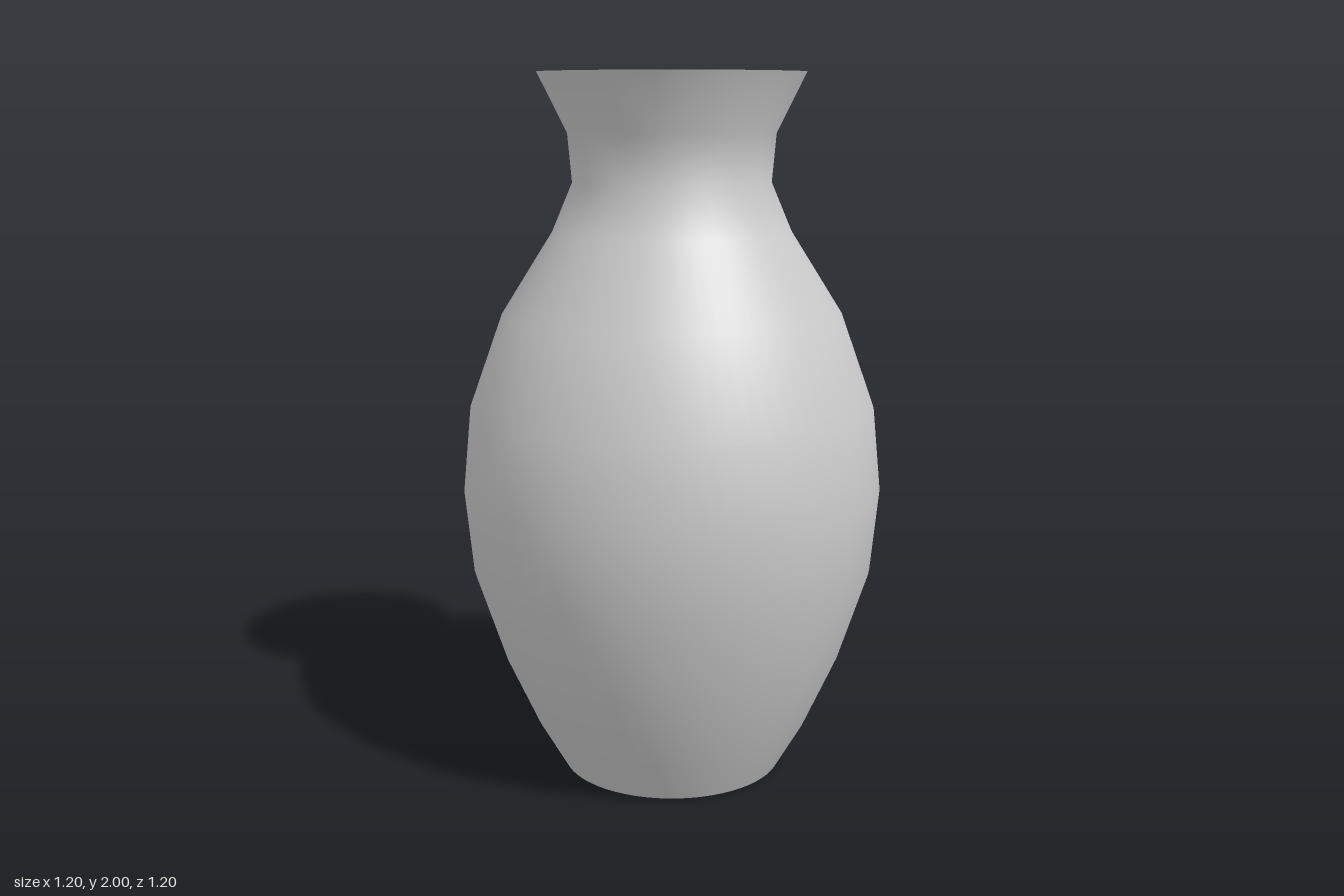
import * as THREE from 'three';

const SEGMENTS = 64;
const WALL = 0.037;
const FLOOR = 0.04;

// Outer profile as [radius, height], from foot to lip
const OUTER = [
  [0.32, 0], [0.4, 0.14], [0.49, 0.34], [0.575, 0.6], [0.598, 0.835], [0.575, 1.07],
  [0.48, 1.335], [0.335, 1.565], [0.278, 1.7], [0.29, 1.835], [0.372, 2],
];

export function createModel() {
  const vase = new THREE.Group();
  vase.name = 'vase';
  const material = new THREE.MeshStandardMaterial({ color: 0xcccccc });

  // Each surface is its own lathe, so the edges between them stay sharp
  const addLathe = (name, profile) => {
    const points = profile.map(([r, y]) => new THREE.Vector2(r, y));
    const mesh = new THREE.Mesh(new THREE.LatheGeometry(points, SEGMENTS), material);
    mesh.name = name;
    vase.add(mesh);
  };

  // Inner wall follows the outer one, from the lip down to the floor
  const inner = OUTER.map(([r, y]) => [r - WALL, Math.max(y, FLOOR)]).reverse();
  const lip = OUTER[OUTER.length - 1];
  const floorEdge = inner[inner.length - 1];

  addLathe('outerWall', OUTER);
  addLathe('rim', [lip, inner[0]]);
  addLathe('innerWall', inner);
  addLathe('innerFloor', [floorEdge, [0, FLOOR]]);
  addLathe('base', [[0, 0], OUTER[0]]);

  return vase;
}
